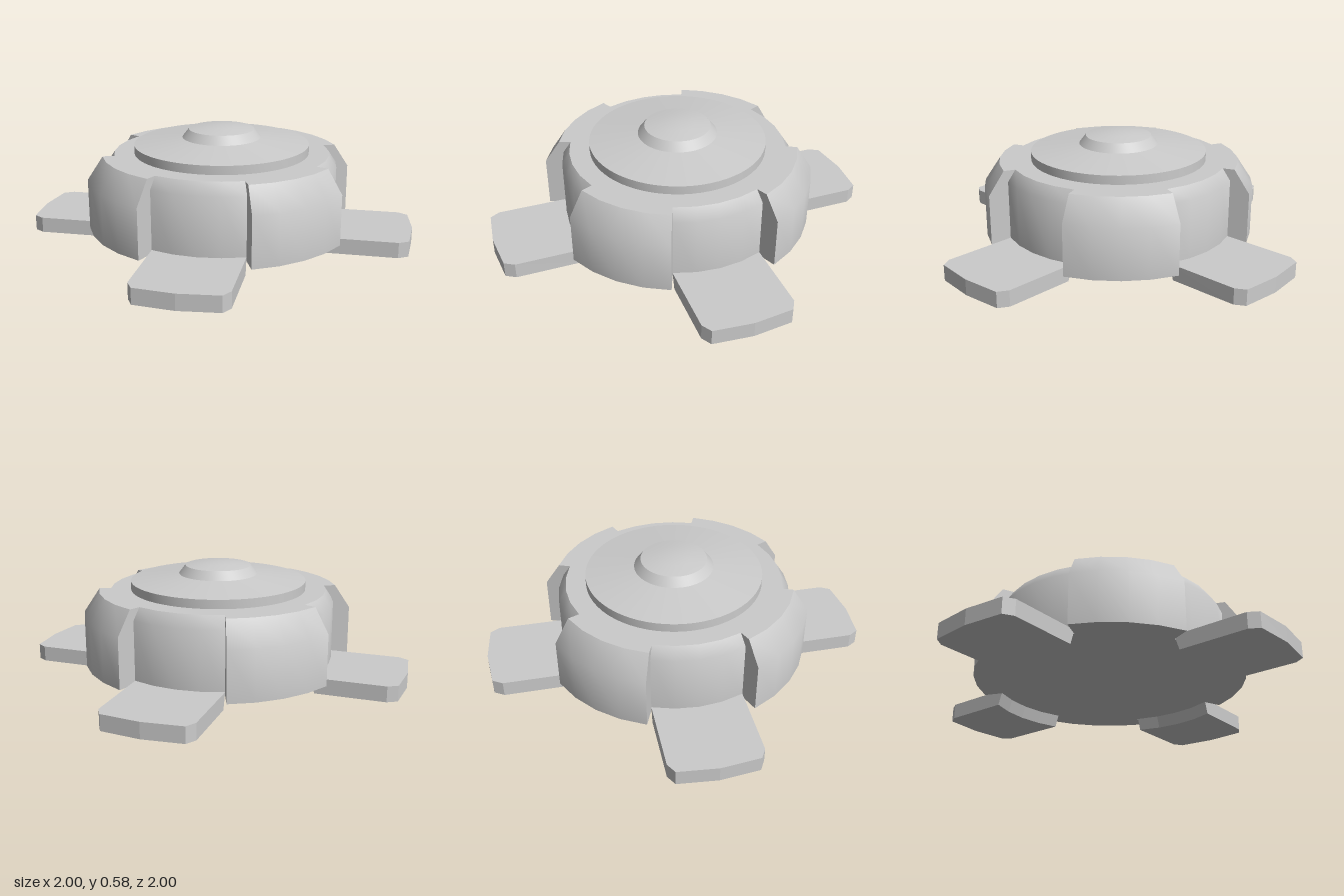
import * as THREE from 'three';
import { toCreasedNormals } from 'three/addons/utils/BufferGeometryUtils.js';

const CREASE = 0.7;
const SECTOR = Math.PI / 4;
const material = new THREE.MeshStandardMaterial({ color: 0xcccccc });
const wallMaterial = new THREE.MeshStandardMaterial({ color: 0xcccccc, side: THREE.DoubleSide });

const toPoints = (list) => list.map(([x, y]) => new THREE.Vector2(x, y));

function addMesh(parent, name, geometry, mat = material) {
  const mesh = new THREE.Mesh(geometry, mat);
  mesh.name = name;
  parent.add(mesh);
  return mesh;
}

// Smooth around the axis, sharp at strong profile corners
function lathe(profile, segments, start = 0, length = Math.PI * 2) {
  return toCreasedNormals(new THREE.LatheGeometry(toPoints(profile), segments, start, length), CREASE);
}

// Foot plate pointing to +z: clipped outer corners, hollowed inner end
function footGeometry() {
  const outline = [[0.23, 0.93], [0.2, 0.98], [0, 1], [-0.2, 0.98], [-0.23, 0.93]];
  for (let i = -2; i <= 2; i++) {
    const a = (i * SECTOR) / 4;
    outline.push([0.6 * Math.sin(a), 0.6 * Math.cos(a)]);
  }
  const geo = new THREE.ExtrudeGeometry(new THREE.Shape(toPoints(outline)), { depth: 0.08, bevelEnabled: false });
  geo.rotateX(Math.PI / 2).translate(0, 0.08, 0);
  // Undercut the inner end
  const pos = geo.attributes.position;
  for (let i = 0; i < pos.count; i++) {
    if (pos.getZ(i) < 0.65 && pos.getY(i) < 0.01) pos.setZ(i, pos.getZ(i) + 0.025);
  }
  geo.computeVertexNormals();
  return geo;
}

export function createModel() {
  const model = new THREE.Group();
  model.name = 'fourFootedHub';

  const recess = [[0, 0.06], [0.6, 0.06], [0.6, 0.38], [0.56, 0.44], [0, 0.44]];
  const block = [[0, 0.06], [0.7, 0.06], [0.7, 0.32], [0.62, 0.44], [0, 0.44]];
  const wall = new THREE.ShapeGeometry(new THREE.Shape(toPoints(
    [[0.6, 0.06], [0.7, 0.06], [0.7, 0.32], [0.62, 0.44], [0.56, 0.44], [0.6, 0.38]])));
  const foot = footGeometry();

  // Body: recessed and raised sectors alternate, a foot stands at each recess
  const body = new THREE.Group();
  body.name = 'body';
  model.add(body);
  for (let i = 0; i < 4; i++) {
    const centre = (i * Math.PI) / 2;
    const edge = centre + SECTOR / 2;
    addMesh(body, 'recessSector', lathe(recess, 4, centre - SECTOR / 2, SECTOR));
    addMesh(body, 'raisedSector', lathe(block, 4, edge, SECTOR));
    for (const angle of [edge, edge + SECTOR]) {
      addMesh(body, 'sectorWall', wall, wallMaterial).rotation.y = angle - Math.PI / 2;
    }
    addMesh(model, 'foot', foot).rotation.y = centre;
  }

  // Shallow conical cap and its central button
  addMesh(model, 'capDisc', lathe([[0.455, 0.44], [0.455, 0.485], [0.2, 0.517]], 64));
  addMesh(model, 'button', lathe([[0.205, 0.515], [0.17, 0.56], [0.09, 0.573], [0, 0.578]], 64));

  return model;
}
